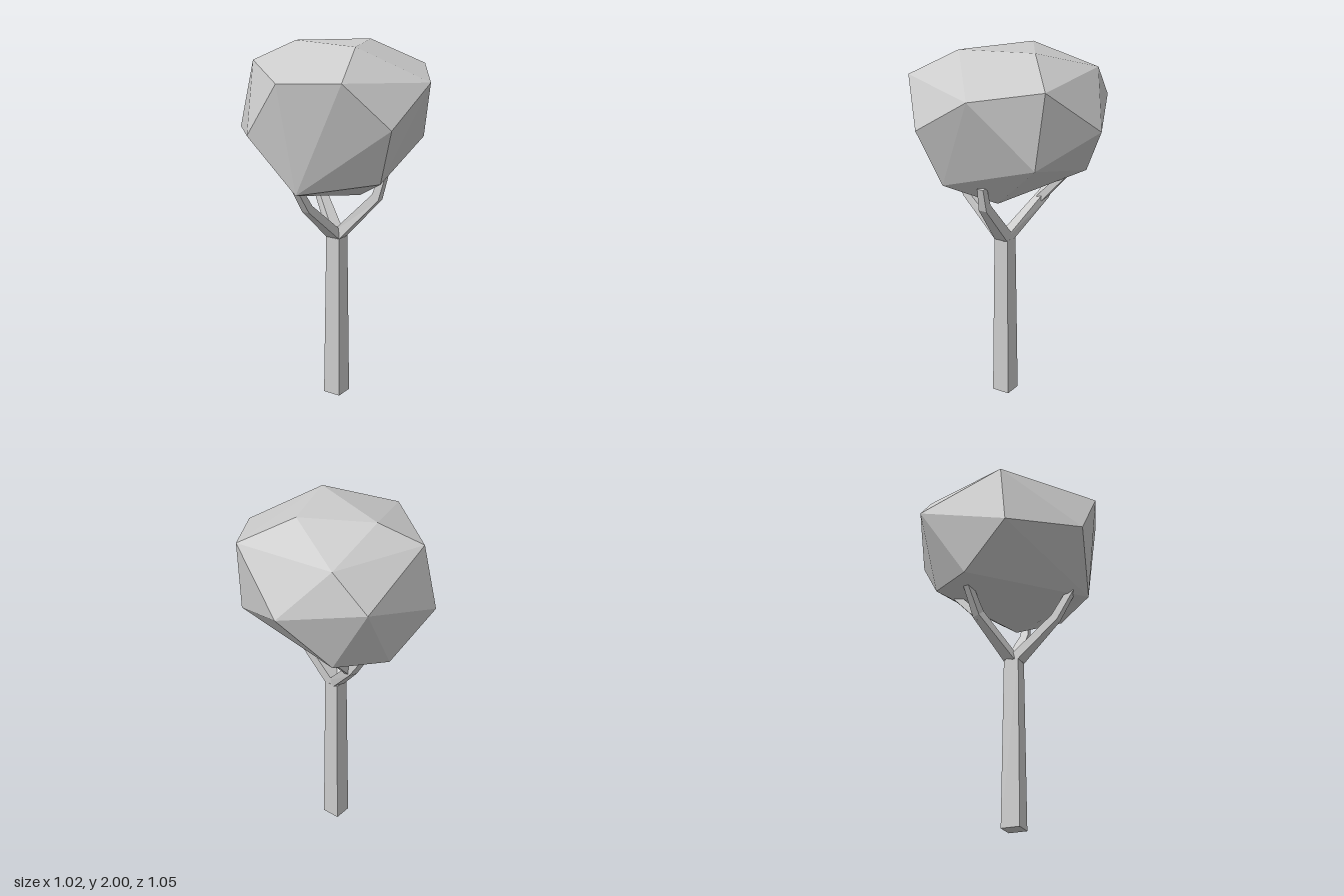
import * as THREE from 'three';
import { ConvexGeometry } from 'three/addons/geometries/ConvexGeometry.js';

const material = new THREE.MeshStandardMaterial({ color: 0xcccccc, flatShading: true });
const UP = new THREE.Vector3(0, 1, 0);

// Square-sectioned limb: points [x, y, z, halfWidth], all rings turned to one heading.
// With flatStart the first ring lies level.
function limb(name, points, heading, flatStart = true) {
  const centres = points.map(([x, y, z]) => new THREE.Vector3(x, y, z));
  const side = UP.clone().cross(new THREE.Vector3(heading[0], 0, heading[1])).normalize();
  const rings = centres.map((c, i) => {
    const prev = centres[Math.max(i - 1, 0)];
    const next = centres[Math.min(i + 1, centres.length - 1)];
    const t = i === 0 && flatStart ? UP.clone() : next.clone().sub(prev).normalize();
    const n = t.clone().cross(side).normalize();
    const s = n.clone().cross(t);
    return [[1, 1], [-1, 1], [-1, -1], [1, -1]].map(([a, b]) =>
      c.clone().addScaledVector(s, a * points[i][3]).addScaledVector(n, b * points[i][3]));
  });

  const tris = [];
  const quad = (a, b, c, d) => tris.push(a, b, c, a, c, d);
  for (let i = 0; i < rings.length - 1; i++) {
    for (let j = 0; j < 4; j++) {
      const k = (j + 1) % 4;
      quad(rings[i][j], rings[i][k], rings[i + 1][k], rings[i + 1][j]);
    }
  }
  quad(...rings[0].slice().reverse());
  quad(...rings[rings.length - 1]);

  const geometry = new THREE.BufferGeometry().setFromPoints(tris);
  geometry.computeVertexNormals();
  const mesh = new THREE.Mesh(geometry, material);
  mesh.name = name;
  return mesh;
}

export function createModel() {
  const tree = new THREE.Group();
  tree.name = 'tree';

  // Tapered square trunk
  tree.add(limb('trunk', [[0.003, 0, 0.015, 0.052], [0.005, 0.94, 0.015, 0.042]], [0, 1]));

  // Bent branches fanning out from the trunk top
  const fork = [0.005, 0.935, 0.015, 0.041];
  tree.add(limb('frontBranch',
    [fork, [-0.012, 1.15, 0.27, 0.022], [-0.02, 1.3, 0.37, 0.018]], [0, 1]));
  tree.add(limb('leftBranch',
    [fork, [0.245, 1.19, -0.012, 0.024], [0.28, 1.31, -0.02, 0.018]], [1, 0]));
  tree.add(limb('backBranch',
    [[0.005, 0.935, 0.015, 0.036], [-0.2, 1.16, -0.11, 0.024], [-0.3, 1.3, -0.13, 0.018]], [-1, -0.4]));
  tree.add(limb('backTwig',
    [[-0.18, 1.14, -0.1, 0.02], [-0.17, 1.31, -0.26, 0.018]], [0, -1], false));

  // Faceted crown
  const crownPoints = [
    // underside
    [0.13, 1.18, -0.02], [0.04, 1.27, 0.445], [-0.43, 1.3, -0.09],
    [-0.26, 1.32, -0.34], [0.37, 1.315, 0.165],
    // belt
    [0.325, 1.465, -0.365], [-0.515, 1.52, 0.18], [-0.215, 1.56, 0.507],
    [-0.056, 1.605, -0.53], [0.48, 1.62, 0.247], [-0.477, 1.7, -0.343],
    // shoulder
    [0.51, 1.815, -0.087], [-0.015, 1.845, 0.525], [0.3, 1.86, 0.42],
    [0.3, 1.86, -0.405], [-0.46, 1.88, 0.13], [-0.29, 1.885, -0.378],
    // top
    [-0.263, 1.987, 0.005], [0.073, 1.995, -0.21], [0.213, 2, 0.16],
  ].map((p) => new THREE.Vector3(...p));
  const crown = new THREE.Mesh(new ConvexGeometry(crownPoints), material);
  crown.name = 'crown';
  tree.add(crown);

  return tree;
}
